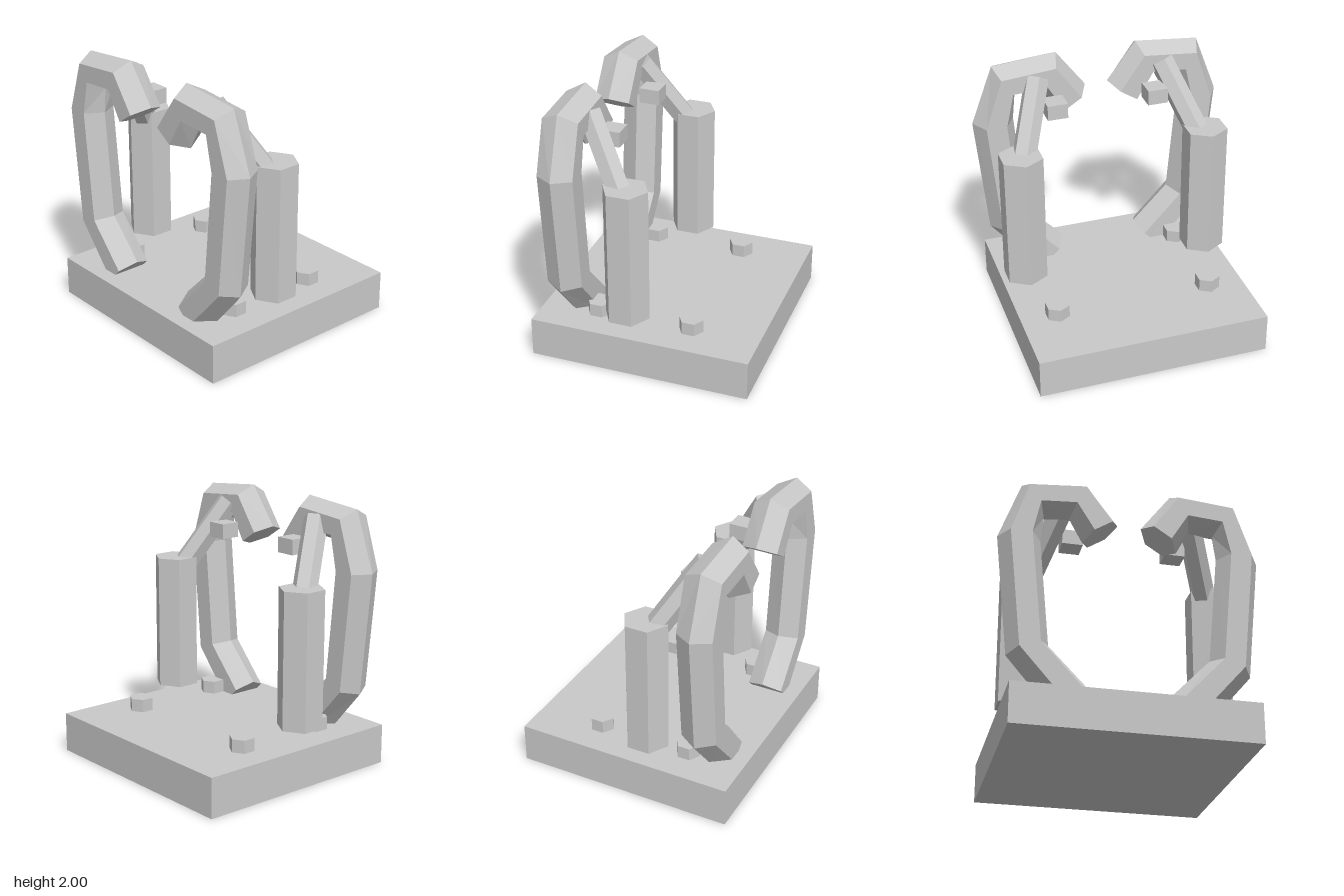
import * as THREE from 'three';

const grey = new THREE.MeshStandardMaterial({ color: 0xc9c9c9 });
grey.name = 'lightGrey';
grey.flatShading = true;

// Claw rings from tip to foot: outer x, y and inner x, y
const CLAW_RINGS = [
  [0.087, 1.705, 0.35, 1.535],
  [0.31, 2.0, 0.447, 1.717],
  [0.80, 1.955, 0.633, 1.706],
  [0.965, 1.51, 0.653, 1.51],
  [0.875, 0.59, 0.58, 0.69],
  [0.527, 0.18, 0.302, 0.403],
];
const CLAW_Z = 0.585;
const SIDES = 6;

// Hexagonal sweep through the rings; side is +1 or -1
function clawGeometry(side) {
  const rings = CLAW_RINGS.map(([ox, oy, ix, iy]) => {
    const cx = (ox + ix) / 2, cy = (oy + iy) / 2;
    const px = (ox - ix) / 2, py = (oy - iy) / 2;
    return Array.from({ length: SIDES }, (_, k) => {
      const a = (k / SIDES) * Math.PI * 2;
      return [side * (cx + px * Math.cos(a)), cy + py * Math.cos(a), CLAW_Z + 0.156 * Math.sin(a)];
    });
  });
  const positions = [];
  const tri = (a, b, c) => positions.push(...a, ...(side > 0 ? b : c), ...(side > 0 ? c : b));
  for (let i = 0; i < rings.length - 1; i++) {
    for (let k = 0; k < SIDES; k++) {
      const n = (k + 1) % SIDES;
      tri(rings[i][k], rings[i][n], rings[i + 1][k]);
      tri(rings[i][n], rings[i + 1][n], rings[i + 1][k]);
    }
  }
  // End caps
  const first = rings[0], last = rings[rings.length - 1];
  for (let k = 1; k < SIDES - 1; k++) {
    tri(first[0], first[k + 1], first[k]);
    tri(last[0], last[k], last[k + 1]);
  }
  const g = new THREE.BufferGeometry();
  g.setAttribute('position', new THREE.Float32BufferAttribute(positions, 3));
  g.computeVertexNormals();
  return g;
}

// Hexagonal bar between two points, with a flat face on top
function strutGeometry(from, to, radius) {
  const d = to.clone().sub(from);
  const g = new THREE.CylinderGeometry(radius, radius, d.length(), SIDES);
  d.normalize();
  const u = new THREE.Vector3().crossVectors(d, new THREE.Vector3(0, 1, 0)).normalize();
  const v = new THREE.Vector3().crossVectors(d, u);
  const m = new THREE.Matrix4().makeBasis(v, d, u);
  m.setPosition(from.clone().add(to).multiplyScalar(0.5));
  return g.applyMatrix4(m);
}

export function createModel() {
  const model = new THREE.Group();
  model.name = 'clawStand';

  const add = (name, geometry, x = 0, y = 0, z = 0) => {
    const mesh = new THREE.Mesh(geometry, grey);
    mesh.name = name;
    mesh.position.set(x, y, z);
    model.add(mesh);
  };

  add('base', new THREE.BoxGeometry(1.755, 0.3, 1.67), 0, 0.15, 0);

  for (const [label, s] of [['left', 1], ['right', -1]]) {
    add(label + 'Claw', clawGeometry(s));

    // Floating hexagonal column behind the claw
    add(label + 'Column', new THREE.CylinderGeometry(0.171, 0.171, 1.03, SIDES), s * 0.716, 0.92, 0.132);

    // Slanted bar joining column and claw
    add(label + 'Strut', strutGeometry(
      new THREE.Vector3(s * 0.672, 1.387, 0.2),
      new THREE.Vector3(s * 0.484, 1.86, 0.484), 0.092));

    // Small block behind the claw tip
    add(label + 'Block', new THREE.BoxGeometry(0.154, 0.115, 0.154), s * 0.388, 1.667, 0.348);

    // Bolts on the base
    for (const [end, z] of [['Front', 0.402], ['Back', -0.317]]) {
      add(label + end + 'Bolt', new THREE.CylinderGeometry(0.094, 0.094, 0.1, SIDES), s * 0.596, 0.348, z);
    }
  }
  return model;
}
